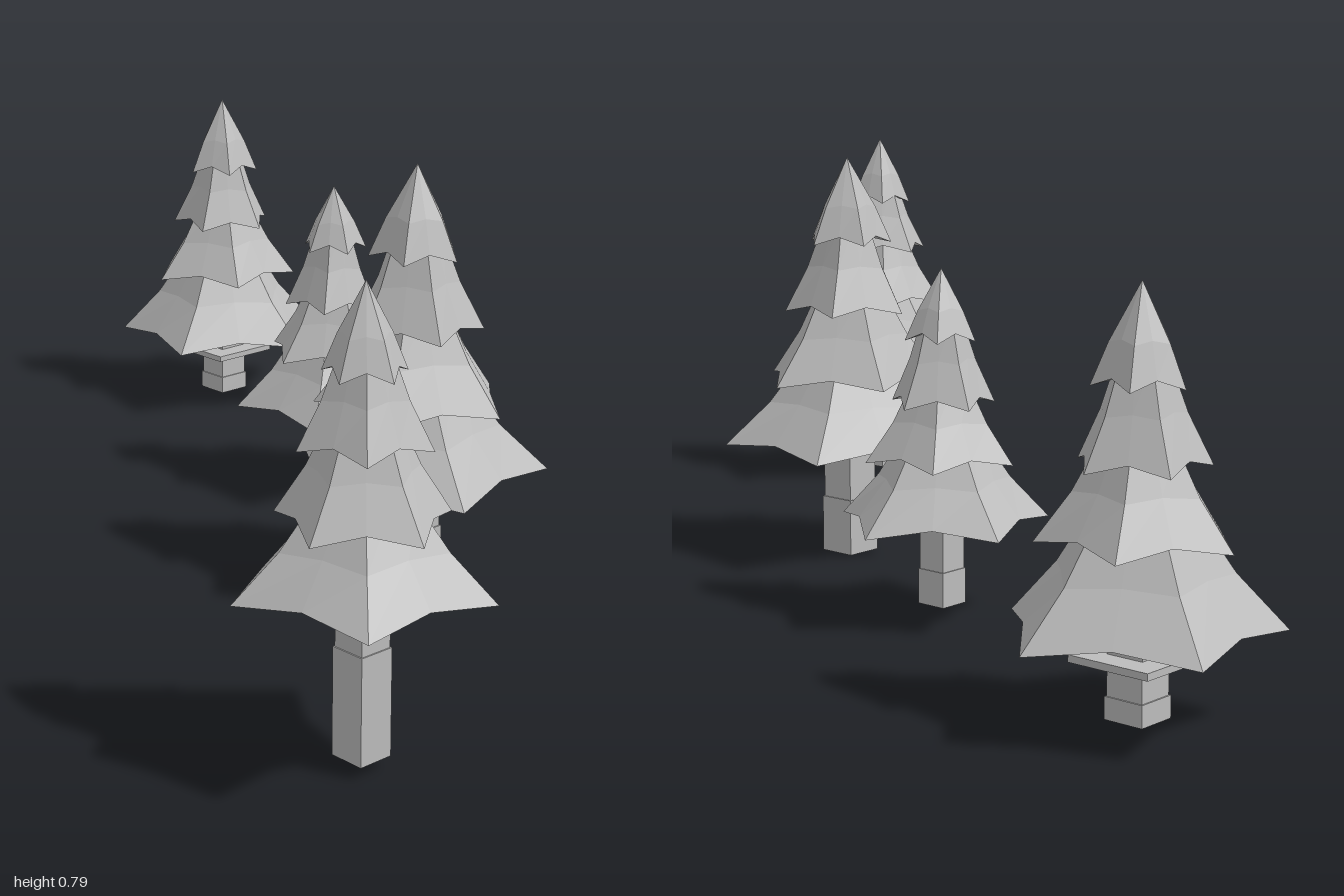
import * as THREE from 'three';

const grey = new THREE.MeshStandardMaterial({ color: 0xbdbdbd });
grey.name = 'plainGrey';

const POINTS = 5; // star tips on every branch tier
const SIDES = POINTS * 2;

// One star-shaped ring: tips at radius r, notches pulled in and lifted
function starRing(r, y, phase, notch, lift) {
  return Array.from({ length: SIDES }, (_, i) => {
    const a = phase + (i * Math.PI) / POINTS;
    const rad = i % 2 ? r * notch : r;
    return new THREE.Vector3(Math.cos(a) * rad, y + (i % 2 ? lift : 0), Math.sin(a) * rad);
  });
}

// Faceted closed surface through an apex, star rings and a hollow underside
function tierGeometry(apexY, rings, underY) {
  const pos = [];
  const tri = (...pts) => pts.forEach((p) => pos.push(p.x, p.y, p.z));
  const apex = new THREE.Vector3(0, apexY, 0);
  const under = new THREE.Vector3(0, underY, 0);
  const last = rings[rings.length - 1];
  for (let i = 0; i < SIDES; i++) {
    const j = (i + 1) % SIDES;
    tri(rings[0][i], apex, rings[0][j]);
    for (let k = 0; k + 1 < rings.length; k++) {
      const up = rings[k], low = rings[k + 1];
      tri(low[i], up[i], low[j]);
      tri(up[i], up[j], low[j]);
    }
    tri(last[i], last[j], under);
  }
  const g = new THREE.BufferGeometry();
  g.setAttribute('position', new THREE.Float32BufferAttribute(pos, 3));
  g.computeVertexNormals();
  return g;
}

function addBox(group, name, width, y0, y1) {
  const mesh = new THREE.Mesh(new THREE.BoxGeometry(width, y1 - y0, width), grey);
  mesh.position.y = (y0 + y1) / 2;
  mesh.name = name;
  group.add(mesh);
}

// tiers: [tip radius, tip height] from the top down; phase in degrees for the lowest tier
function createTree({ name, x, z, top, tiers, phase, trunk, plate }) {
  const tree = new THREE.Group();
  tree.name = name;
  tree.position.set(x, 0, z);

  tiers.forEach(([r, y], n) => {
    const turn = THREE.MathUtils.degToRad(phase + 36 * (tiers.length - 1 - n));
    const first = n === 0;
    const start = first ? top : tiers[n - 1][1] + 0.04;
    const h = start - y;
    const rings = [
      starRing(r * 0.64, y + h * (first ? 0.42 : 0.5), turn, 0.8, 0.006),
      starRing(r, y, turn, 0.76, 0.016),
    ];
    // Lower tiers begin as a narrow collar inside the tier above
    if (!first) rings.unshift(starRing(r * 0.38, start, turn, 0.81, 0));
    const mesh = new THREE.Mesh(tierGeometry(start, rings, y + 0.02), grey);
    mesh.name = 'branchTier' + (n + 1);
    tree.add(mesh);
  });

  // Stepped square trunk
  const { base, split, width } = trunk;
  addBox(tree, 'lowerTrunk', width, base, split - 0.002);
  addBox(tree, 'upperTrunk', width * 0.93, split - 0.002, tiers[tiers.length - 1][1] + 0.03);
  if (plate) addBox(tree, 'trunkPlate', plate.width, plate.y0, plate.y1);
  return tree;
}

export function createModel() {
  const group = new THREE.Group();
  group.name = 'pineTrees';
  [
    {
      name: 'longTrunkTree', x: -0.576, z: 0.815, top: 0.778, phase: -12,
      tiers: [[0.068, 0.635], [0.108, 0.525], [0.142, 0.405], [0.21, 0.295]],
      trunk: { base: 0.02, split: 0.203, width: 0.064 },
    },
    {
      name: 'tallTree', x: 0.019, z: 0.333, top: 0.79, phase: -30,
      tiers: [[0.086, 0.622], [0.125, 0.487], [0.182, 0.35], [0.247, 0.22]],
      trunk: { base: 0, split: 0.113, width: 0.077 },
    },
    {
      name: 'smallTree', x: 0.275, z: -0.15, top: 0.632, phase: 0,
      tiers: [[0.066, 0.505], [0.097, 0.39], [0.138, 0.288], [0.197, 0.176]],
      trunk: { base: 0.026, split: 0.092, width: 0.06 },
    },
    {
      name: 'shortTrunkTree', x: 0.534, z: -0.792, top: 0.688, phase: 11,
      tiers: [[0.078, 0.528], [0.112, 0.405], [0.163, 0.288], [0.233, 0.147]],
      trunk: { base: 0.008, split: 0.047, width: 0.073 },
      plate: { width: 0.153, y0: 0.1, y1: 0.112 },
    },
  ].forEach((spec) => group.add(createTree(spec)));
  return group;
}
